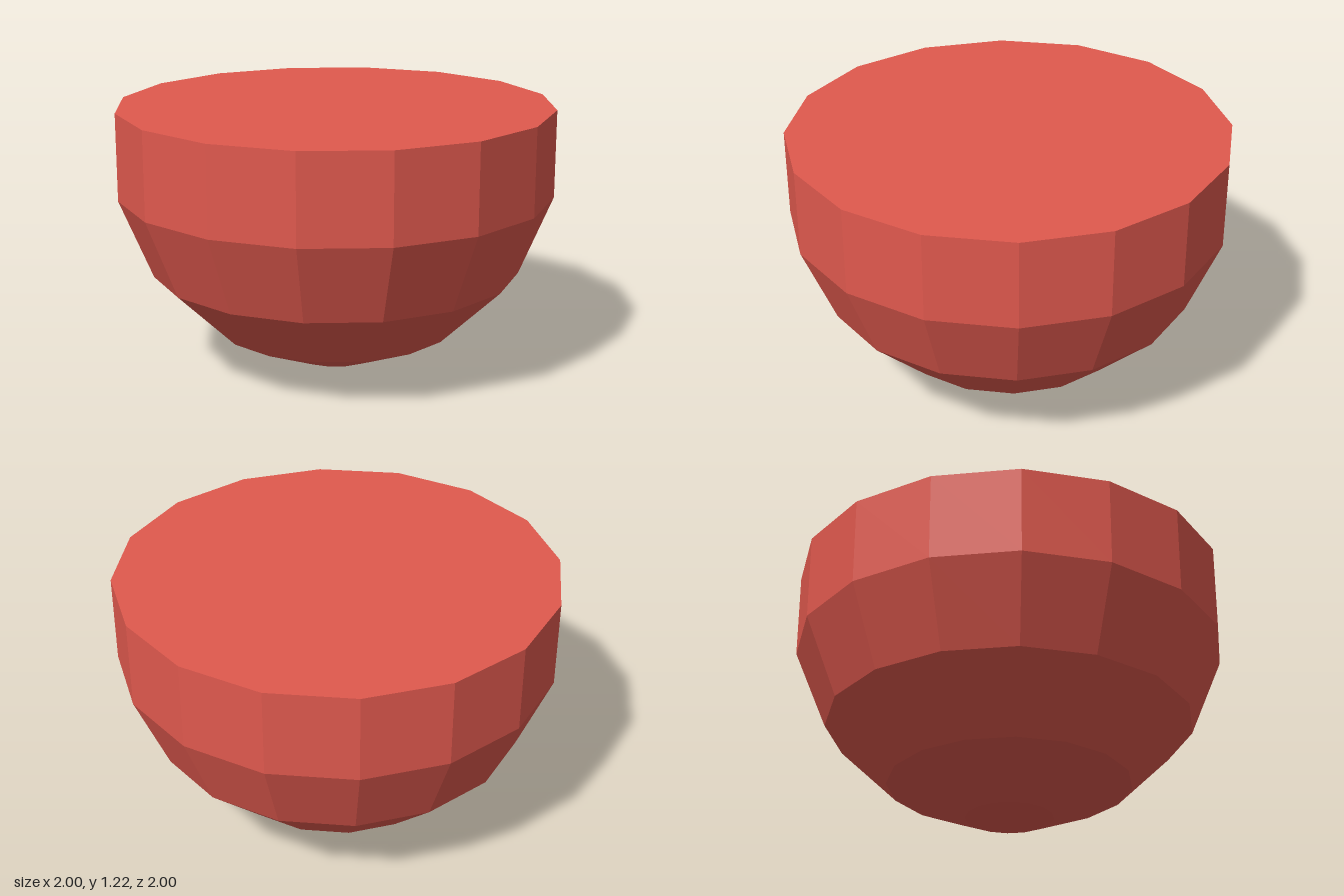
import * as THREE from 'three';

const SIDES = 16;

export function createModel() {
  const group = new THREE.Group();
  group.name = 'bowl';
  const material = new THREE.MeshStandardMaterial({ color: 0xe0594e, flatShading: true });

  // Faceted outer shell: shallow tip, rounded underside, straight upper band
  const profile = [[0, 0], [0.2, 0.02], [0.56, 0.175], [0.85, 0.455], [1, 0.82], [1, 1.22]]
    .map(([r, y]) => new THREE.Vector2(r, y));
  const shellGeometry = new THREE.LatheGeometry(profile, SIDES).toNonIndexed();
  shellGeometry.computeVertexNormals();
  const shell = new THREE.Mesh(shellGeometry, material);
  shell.name = 'bowlShell';
  group.add(shell);

  // Flat top closing the shell
  const top = new THREE.Mesh(new THREE.CircleGeometry(1, SIDES), material);
  top.name = 'flatTop';
  top.rotation.x = -Math.PI / 2;
  top.position.y = 1.22;
  group.add(top);

  return group;
}
